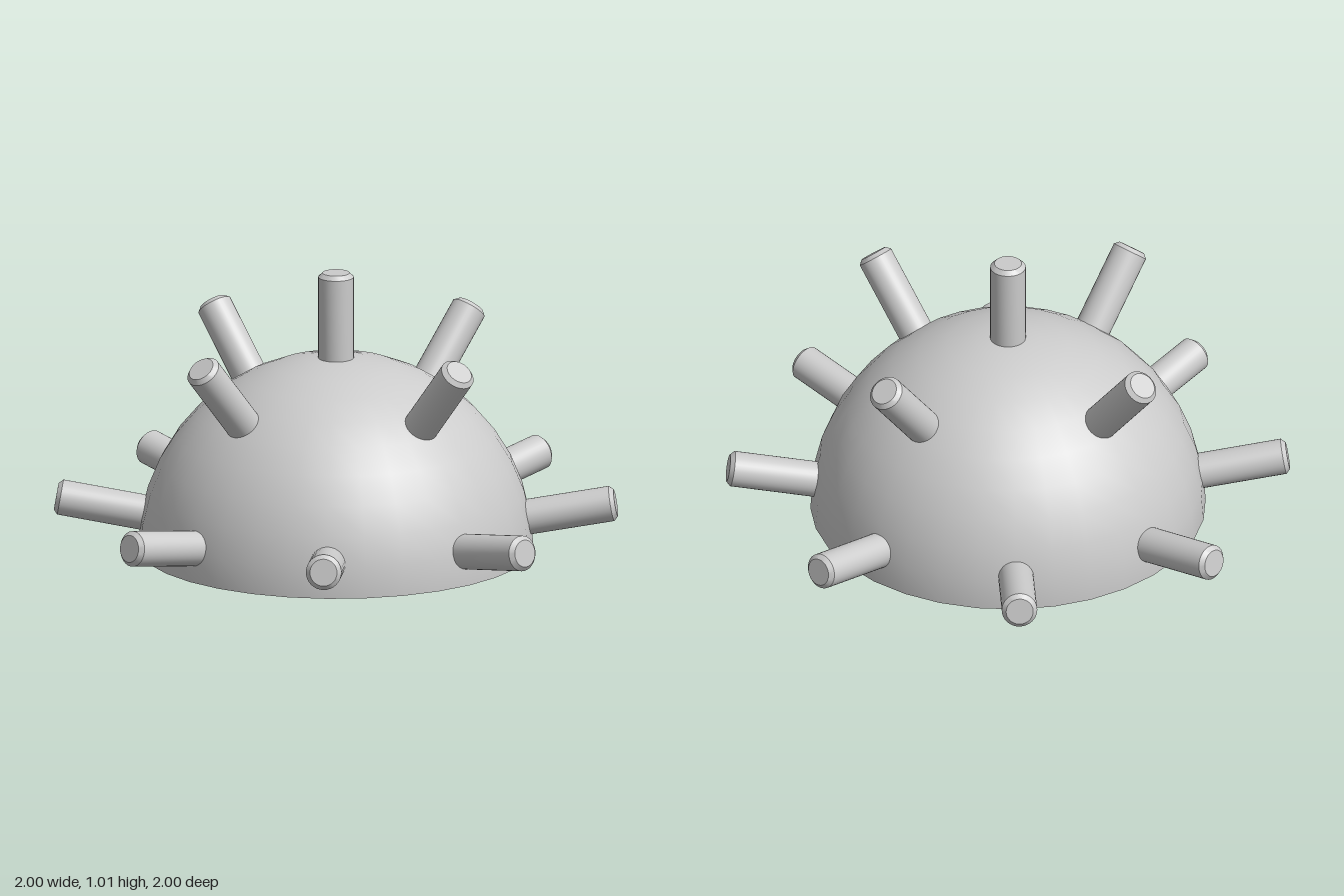
import * as THREE from 'three';
import { toCreasedNormals } from 'three/addons/utils/BufferGeometryUtils.js';

const DOME_R = 0.7, PEG_R = 0.063, PEG_IN = 0.683, PEG_OUT = 1.006;

export function createModel() {
  const group = new THREE.Group();
  const material = new THREE.MeshStandardMaterial({ color: 0xcccccc });
  const shellMaterial = new THREE.MeshStandardMaterial({ color: 0xcccccc, side: THREE.DoubleSide });

  // Open hollow half sphere
  const dome = new THREE.Mesh(
    new THREE.SphereGeometry(DOME_R, 32, 10, 0, Math.PI * 2, 0, Math.PI / 2), shellMaterial);
  dome.name = 'dome';
  group.add(dome);

  // Round peg with a bevelled tip, pointing up from the dome centre
  const profile = [
    [0, PEG_IN], [PEG_R, PEG_IN], [PEG_R, PEG_OUT - 0.015], [0.048, PEG_OUT], [0, PEG_OUT],
  ].map(([r, y]) => new THREE.Vector2(r, y));
  const pegGeometry = toCreasedNormals(new THREE.LatheGeometry(profile, 32), 0.5);

  // Rings of pegs: name, elevation in degrees, count
  const rings = [['topPeg', 90, 1], ['upperPeg', 50, 4], ['lowerPeg', 10, 8]];
  const up = new THREE.Vector3(0, 1, 0);
  for (const [name, degrees, count] of rings) {
    const elevation = THREE.MathUtils.degToRad(degrees);
    for (let i = 0; i < count; i++) {
      const direction = new THREE.Vector3().setFromSphericalCoords(
        1, Math.PI / 2 - elevation, (i / count) * Math.PI * 2);
      const peg = new THREE.Mesh(pegGeometry, material);
      peg.name = name + (i + 1);
      peg.quaternion.setFromUnitVectors(up, direction);
      group.add(peg);
    }
  }
  return group;
}
